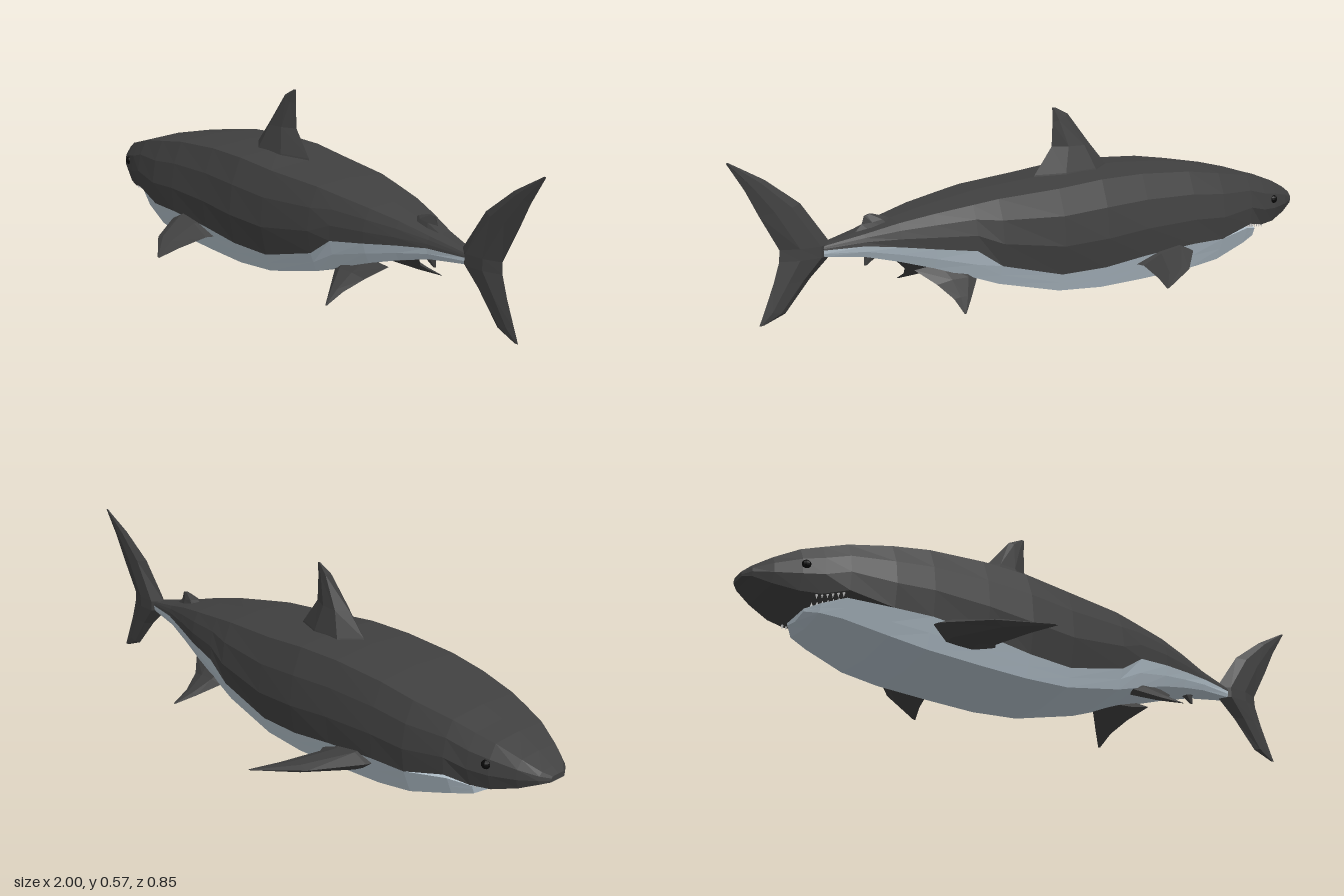
import * as THREE from 'three';

const paint = (color) => new THREE.MeshStandardMaterial({ color, flatShading: true });

// Closed skin over rings of [x, y, z] points, capped at both ends and wound outwards.
function loft(rings) {
  const n = rings[0].length;
  const pts = rings.flat();
  const tris = [];
  for (let i = 0; i < rings.length - 1; i++) {
    for (let j = 0; j < n; j++) {
      const a = i * n + j, b = i * n + (j + 1) % n;
      tris.push([a, b, a + n], [b, b + n, a + n]);
    }
  }
  [0, rings.length - 1].forEach((r) => {
    const c = [0, 1, 2].map((k) => rings[r].reduce((s, p) => s + p[k], 0) / n);
    const centre = pts.push(c) - 1;
    for (let j = 0; j < n; j++) {
      const a = r * n + j, b = r * n + (j + 1) % n;
      tris.push(r === 0 ? [b, a, centre] : [a, b, centre]);
    }
  });
  const v = pts.map((p) => new THREE.Vector3(...p));
  const origin = v[v.length - 1];
  const rel = v.map((p) => p.clone().sub(origin));
  let volume = 0;
  tris.forEach(([a, b, c]) => { volume += rel[a].dot(rel[b].clone().cross(rel[c])); });
  if (volume < 0) tris.forEach((t) => t.reverse());
  const g = new THREE.BufferGeometry().setFromPoints(v);
  g.setIndex(tris.flat());
  g.computeVertexNormals();
  return g;
}

// Body stations: x, top, bottom, half width, height of the colour line.
const STATIONS = [
  [-1.0, 0.2, 0.175, 0.03, 0.183],
  [-0.98, 0.215, 0.165, 0.06, 0.178],
  [-0.93, 0.245, 0.14, 0.095, 0.158],
  [-0.86, 0.28, 0.11, 0.13, 0.14],
  [-0.8, 0.298, 0.1, 0.15, 0.138],
  [-0.73, 0.32, 0.075, 0.17, 0.155],
  [-0.6, 0.345, 0.035, 0.195, 0.125],
  [-0.48, 0.365, 0.018, 0.2, 0.125],
  [-0.3, 0.377, 0.008, 0.2, 0.11],
  [-0.15, 0.375, 0.003, 0.2, 0.09],
  [0.0, 0.36, 0.012, 0.19, 0.085],
  [0.2, 0.345, 0.06, 0.165, 0.135],
  [0.28, 0.332, 0.09, 0.148, 0.19],
  [0.4, 0.312, 0.133, 0.12, 0.205],
  [0.5, 0.29, 0.163, 0.086, 0.217],
  [0.6, 0.262, 0.188, 0.052, 0.226],
  [0.72, 0.235, 0.2, 0.022, 0.222],
];
const JAW = [
  [-0.82, 0.29, 0.1, 0.07, 0.118],
  [-0.79, 0.3, 0.085, 0.125, 0.122],
  [-0.73, 0.32, 0.07, 0.158, 0.138],
];

// Relative half width at relative height t of a cross-section.
const PROFILE = [[0, 0.75], [0.3, 0.95], [0.5, 1], [0.72, 0.96], [0.9, 0.85], [1, 0.74]];
function profile(t) {
  for (let i = 1; i < PROFILE.length; i++) {
    const [t0, w0] = PROFILE[i - 1], [t1, w1] = PROFILE[i];
    if (t <= t1) return w0 + (w1 - w0) * Math.max(0, t - t0) / (t1 - t0);
  }
  return PROFILE[PROFILE.length - 1][1];
}

// Half ring from the colour line to the top or the belly, mirrored into a full one.
function bodyRing([x, top, bottom, w, line], upper) {
  const corner = THREE.MathUtils.lerp(bottom, top, upper ? 0.97 : 0.05);
  const half = (upper ? [0, 0.35, 0.7, 1] : [0, 0.5, 1]).map((s) => {
    const y = THREE.MathUtils.lerp(line, corner, s);
    return [x, y, w * profile((y - bottom) / (top - bottom))];
  });
  const mirrored = half.map(([a, b, c]) => [a, b, -c]).reverse();
  return [...half, [x, upper ? top : bottom, 0], ...mirrored];
}

// Fin from sections [leading point, trailing point, half thickness]; axis is the thin direction.
function fin(sections, axis) {
  const dir = new THREE.Vector3(...axis).normalize();
  return loft(sections.map(([lead, trail, thick]) => {
    const a = new THREE.Vector3(...lead), b = new THREE.Vector3(...trail);
    const at = (s, k) => a.clone().lerp(b, s).addScaledVector(dir, k * thick).toArray();
    return [at(0, 0), at(0.25, 1), at(0.65, 0.85), at(1, 0), at(0.65, -0.85), at(0.25, -1)];
  }));
}

export function createModel() {
  const model = new THREE.Group();
  const dark = paint(0x404040), pale = paint(0xb4c2cc), red = paint(0x6a2424);
  const white = paint(0xeeeeee), black = paint(0x080808);
  const add = (name, geometry, material, parent = model) => {
    const mesh = new THREE.Mesh(geometry, material);
    mesh.name = name;
    parent.add(mesh);
    return mesh;
  };

  // Body: dark back with the snout, pale belly with the lower jaw
  add('back', loft(STATIONS.map((s) => bodyRing(s, true))), dark);
  const belly = [...JAW, ...STATIONS.filter((s) => s[0] > -0.7)];
  add('belly', loft(belly.map((s) => bodyRing(s, false))), pale);

  // Mouth lining in the gap above the jaw
  const lining = add('mouthLining', new THREE.SphereGeometry(1, 10, 6), red);
  lining.scale.set(0.1, 0.022, 0.11);
  lining.position.set(-0.7, 0.133, 0);

  // Upright fins, outlined in the side plane
  const upright = (name, rows) => add(name, fin(
    rows.map(([x0, y0, x1, y1, t]) => [[x0, y0, 0], [x1, y1, 0], t]), [0, 0, 1]), dark);
  upright('dorsalFin', [
    [-0.28, 0.35, 0.01, 0.34, 0.055], [-0.26, 0.38, 0.0, 0.365, 0.048],
    [-0.2, 0.45, -0.062, 0.45, 0.028], [-0.12, 0.55, -0.065, 0.525, 0.01],
    [-0.075, 0.573, -0.064, 0.573, 0.002],
  ]);
  upright('rearDorsalFin', [
    [0.47, 0.27, 0.62, 0.25, 0.025], [0.51, 0.295, 0.59, 0.28, 0.016], [0.56, 0.31, 0.582, 0.305, 0.003],
  ]);
  upright('analFin', [
    [0.49, 0.19, 0.6, 0.2, 0.02], [0.54, 0.18, 0.585, 0.18, 0.012], [0.575, 0.155, 0.585, 0.155, 0.003],
  ]);
  upright('tailFin', [
    [0.9, 0.02, 0.917, 0.018, 0.002], [0.837, 0.045, 0.9, 0.06, 0.009],
    [0.757, 0.14, 0.87, 0.136, 0.018], [0.69, 0.203, 0.85, 0.2, 0.026],
    [0.69, 0.237, 0.848, 0.235, 0.026], [0.78, 0.365, 0.905, 0.34, 0.016],
    [0.885, 0.445, 0.945, 0.42, 0.009], [0.99, 0.504, 0.996, 0.502, 0.002],
  ]);

  // Paired parts
  for (const [side, s] of [['left', -1], ['right', 1]]) {
    add(side + 'PectoralFin', fin([
      [[-0.49, 0.105, 0.14 * s], [-0.25, 0.085, 0.14 * s], 0.036],
      [[-0.47, 0.105, 0.2 * s], [-0.28, 0.082, 0.2 * s], 0.028],
      [[-0.36, 0.09, 0.33 * s], [-0.245, 0.077, 0.33 * s], 0.012],
      [[-0.22, 0.074, 0.424 * s], [-0.21, 0.073, 0.424 * s], 0.001],
    ], [0, 1, 0]), dark);
    add(side + 'PelvicFin', fin([
      [[0.23, 0.125, 0.06 * s], [0.45, 0.135, 0.06 * s], 0.024],
      [[0.27, 0.095, 0.115 * s], [0.4, 0.095, 0.11 * s], 0.017],
      [[0.32, 0.06, 0.175 * s], [0.375, 0.062, 0.17 * s], 0.009],
      [[0.365, 0.032, 0.228 * s], [0.372, 0.032, 0.228 * s], 0.001],
    ], [0, 0.8, 0.6 * s]), dark);
    const eye = add(side + 'Eye', new THREE.SphereGeometry(0.014, 10, 8), black);
    eye.position.set(-0.85, 0.218, 0.126 * s);

    // Teeth along the upper lip and the jaw
    const teeth = new THREE.Group();
    teeth.name = side + 'Teeth';
    model.add(teeth);
    for (let i = 0; i < 6; i++) {
      const t = i / 5;
      const upperTooth = add('upperTooth', new THREE.ConeGeometry(0.006, 0.018, 4), white, teeth);
      upperTooth.position.set(-0.81 + 0.07 * t, 0.134 + 0.013 * t, (0.118 + 0.026 * t) * s);
      upperTooth.rotation.x = Math.PI;
      const lowerTooth = add('lowerTooth', new THREE.ConeGeometry(0.005, 0.014, 4), white, teeth);
      lowerTooth.position.set(-0.805 + 0.06 * t, 0.126 + 0.01 * t, (0.075 + 0.05 * t) * s);
    }
  }
  return model;
}
